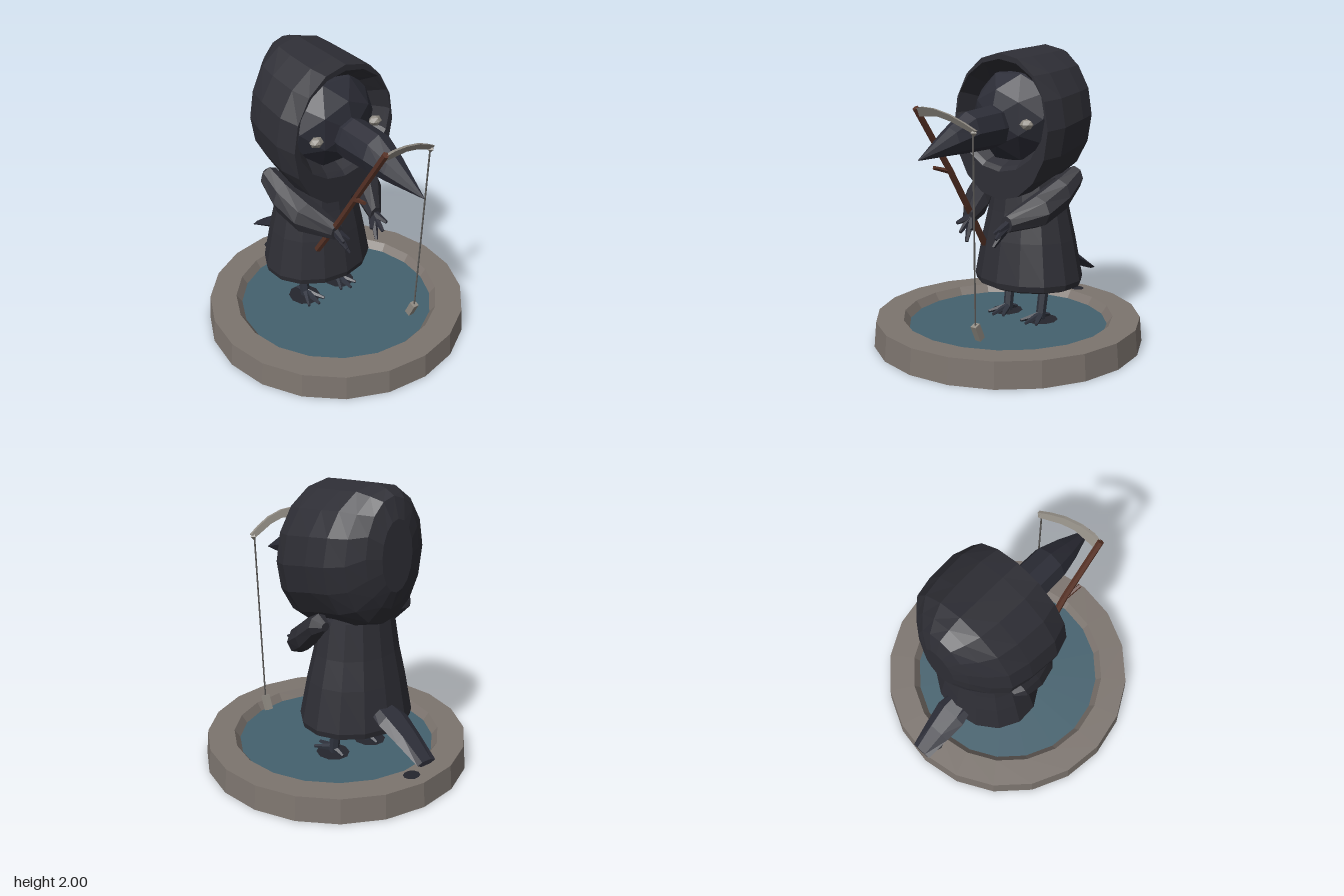
import * as THREE from 'three';

const mat = (name, color) => {
  const m = new THREE.MeshStandardMaterial({ color, flatShading: true, side: THREE.DoubleSide });
  m.name = name;
  return m;
};

export function createModel() {
  const cloth = mat('dark cloth', 0x2e2e35);
  const feather = mat('feather black', 0x2c2d37);
  const leg = mat('leg slate', 0x30343f);
  const stone = mat('stone', 0x7c746e);
  const water = mat('water', 0x44616e);
  const wood = mat('wood', 0x573226);
  const bone = mat('pale bone', 0x8f8a82);
  const cord = mat('cord grey', 0x5c5a58);
  const shade = mat('dark patch', 0x25262d);

  const model = new THREE.Group();
  const add = (name, geo, material, parent = model) => {
    const mesh = new THREE.Mesh(geo, material);
    mesh.name = name;
    parent.add(mesh);
    return mesh;
  };

  // Skin of elliptical rings [z, centreX, bottomY, topY, halfWidth], capped at both ends
  const loft = (rings, n = 12, turn = 0) => {
    const pos = [], idx = [];
    for (const [z, cx, y0, y1, rx] of rings) {
      for (let j = 0; j < n; j++) {
        const a = turn + (j / n) * Math.PI * 2;
        pos.push(cx + rx * Math.cos(a), (y0 + y1) / 2 + ((y1 - y0) / 2) * Math.sin(a), z);
      }
    }
    for (let i = 0; i < rings.length - 1; i++) {
      for (let j = 0; j < n; j++) {
        const k = (j + 1) % n, a = i * n + j, b = i * n + k, c = a + n, d = b + n;
        idx.push(a, c, b, b, c, d);
      }
    }
    const last = (rings.length - 1) * n;
    for (let j = 1; j < n - 1; j++) idx.push(0, j, j + 1, last, last + j + 1, last + j);
    const g = new THREE.BufferGeometry();
    g.setAttribute('position', new THREE.Float32BufferAttribute(pos, 3));
    g.setIndex(idx);
    g.computeVertexNormals();
    return g;
  };

  // Tapered stick between two points
  const stick = (a, b, r0, r1, sides = 6) => {
    const p = new THREE.Vector3(...a), q = new THREE.Vector3(...b);
    const d = q.clone().sub(p);
    const g = new THREE.CylinderGeometry(r1, r0, d.length(), sides);
    g.applyQuaternion(new THREE.Quaternion().setFromUnitVectors(new THREE.Vector3(0, 1, 0), d.clone().normalize()));
    const m = p.add(q).multiplyScalar(0.5);
    return g.translate(m.x, m.y, m.z);
  };
  const lathe = (pts, n) => new THREE.LatheGeometry(pts.map(p => new THREE.Vector2(...p)), n);
  const disc = (rx, rz, x, y, z, n = 10) =>
    new THREE.CircleGeometry(1, n).rotateX(-Math.PI / 2).scale(rx, 1, rz).translate(x, y, z);

  // Pool
  add('stonePool', lathe([[0, 0], [0.92, 0], [0.905, 0.17], [0.72, 0.17], [0.67, 0.1]], 20), stone);
  add('water', disc(0.69, 0.69, 0, 0.115, 0, 20), water);
  add('rimPatch', disc(0.06, 0.05, 0, 0.173, -0.79), shade);

  // Robe
  add('robe', lathe([[0, 0.32], [0.34, 0.35], [0.39, 0.37], [0.4, 0.41], [0.345, 0.69], [0.3, 0.88], [0.26, 1.12], [0, 1.2]], 14)
    .scale(1, 1, 0.85).translate(0, 0, -0.22), cloth);

  // Hood: cavity, rim, then outer shell to the back
  add('hood', loft([
    [-0.08, 0, 1.27, 1.8, 0.3], [0.06, 0, 1.2, 1.89, 0.37], [0.09, 0, 1.17, 1.91, 0.385],
    [0.09, 0, 0.98, 1.95, 0.41], [-0.04, 0, 1.0, 1.965, 0.45], [-0.25, 0, 1.06, 1.985, 0.435],
    [-0.39, 0, 1.08, 2.0, 0.4], [-0.48, 0, 1.12, 1.98, 0.31],
    [-0.555, 0, 1.24, 1.95, 0.21], [-0.6, 0, 1.36, 1.82, 0.12]
  ], 16, Math.PI / 2), cloth);

  // Head and beak
  add('head', new THREE.IcosahedronGeometry(1, 1).scale(0.36, 0.35, 0.34).translate(0, 1.53, -0.17), feather);
  add('beak', loft([
    [0.81, 0, 1.322, 1.33, 0.004], [0.55, 0, 1.325, 1.5, 0.09], [0.4, 0, 1.325, 1.59, 0.125],
    [0.17, 0, 1.33, 1.615, 0.13], [0, 0, 1.36, 1.6, 0.1]
  ], 8, Math.PI / 2), feather);

  // Tail
  add('tail', loft([
    [-0.4, 0, 0.5, 0.6, 0.08], [-0.6, 0, 0.44, 0.535, 0.12], [-0.75, 0, 0.37, 0.455, 0.1], [-0.92, 0, 0.305, 0.34, 0.075]
  ], 6), feather);

  // Paired parts
  for (const s of [1, -1]) {
    const side = s > 0 ? 'left' : 'right';
    add(side + 'Eye', new THREE.OctahedronGeometry(1, 1).scale(0.05, 0.036, 0.04).translate(s * 0.245, 1.5, 0.1), bone);
    add(side + 'Sleeve', loft([
      [0.21, s * 0.17, 0.8, 0.91, 0.05], [0.03, s * 0.27, 0.82, 1.03, 0.115], [-0.13, s * 0.33, 0.91, 1.13, 0.1],
      [-0.27, s * 0.35, 1.05, 1.205, 0.075], [-0.33, s * 0.34, 1.1, 1.16, 0.03]
    ], 8), cloth);

    // Clawed hands
    const hand = new THREE.Group();
    hand.name = side + 'Hand';
    model.add(hand);
    for (const tip of [[0.12, 0.71, 0.28], [0.16, 0.77, 0.3], [0.19, 0.83, 0.3], [0.1, 0.79, 0.25]]) {
      add('finger', stick([s * 0.17, 0.86, 0.18], [s * tip[0], tip[1], tip[2]], 0.032, 0.012, 5), feather, hand);
    }

    // Legs and feet
    const foot = new THREE.Group();
    foot.name = side + 'Leg';
    model.add(foot);
    add('shin', stick([s * 0.15, 0.12, -0.17], [s * 0.155, 0.42, -0.215], 0.034, 0.036), leg, foot);
    for (const [dx, dz] of [[-0.07, 0.13], [0, 0.16], [0.07, 0.13], [0, -0.1]]) {
      add('toe', stick([s * 0.15, 0.15, -0.17], [s * 0.15 + dx, 0.125, -0.17 + dz], 0.027, 0.011, 5), leg, foot);
    }
    add('footPatch', disc(0.11, 0.12, s * 0.16, 0.119, -0.17), shade, foot);
  }

  // Wooden pole with a twig
  const pole = new THREE.Group();
  pole.name = 'pole';
  model.add(pole);
  const bends = [[-0.19, 0.64, 0.03], [-0.168, 0.95, 0.23], [-0.165, 1.2, 0.385], [-0.182, 1.62, 0.66]];
  for (let i = 0; i < 3; i++) add('poleSection', stick(bends[i], bends[i + 1], 0.025 - i * 0.001, 0.024 - i * 0.001), wood, pole);
  add('twig', stick([-0.17, 1.19, 0.38], [-0.195, 1.225, 0.5], 0.018, 0.013, 5), wood, pole);

  // Curved blade, leaning with the pole
  const blade = new THREE.Shape([
    [-0.2, 1.61], [-0.17, 1.565], [0, 1.575], [0.1, 1.55], [0.25, 1.485], [0.28, 1.505],
    [0.2, 1.55], [0.1, 1.595], [-0.02, 1.625], [-0.12, 1.63]
  ].map(p => new THREE.Vector2(...p)));
  const bladeGeo = new THREE.ExtrudeGeometry(blade, { depth: 0.02, bevelEnabled: false });
  const bp = bladeGeo.attributes.position;
  for (let i = 0; i < bp.count; i++) bp.setZ(i, bp.getZ(i) + 0.59 + (bp.getY(i) - 1.5) * 0.5);
  bladeGeo.computeVertexNormals();
  add('blade', bladeGeo, bone);

  // Fishing line, knot and weight
  add('knot', new THREE.OctahedronGeometry(0.026).translate(0.255, 1.49, 0.6), bone);
  add('line', stick([0.25, 1.49, 0.6], [0.225, 0.27, 0.565], 0.006, 0.006, 5), cord);
  add('weight', new THREE.BoxGeometry(0.045, 0.11, 0.045).rotateX(0.42).translate(0.225, 0.23, 0.545), bone);

  return model;
}
